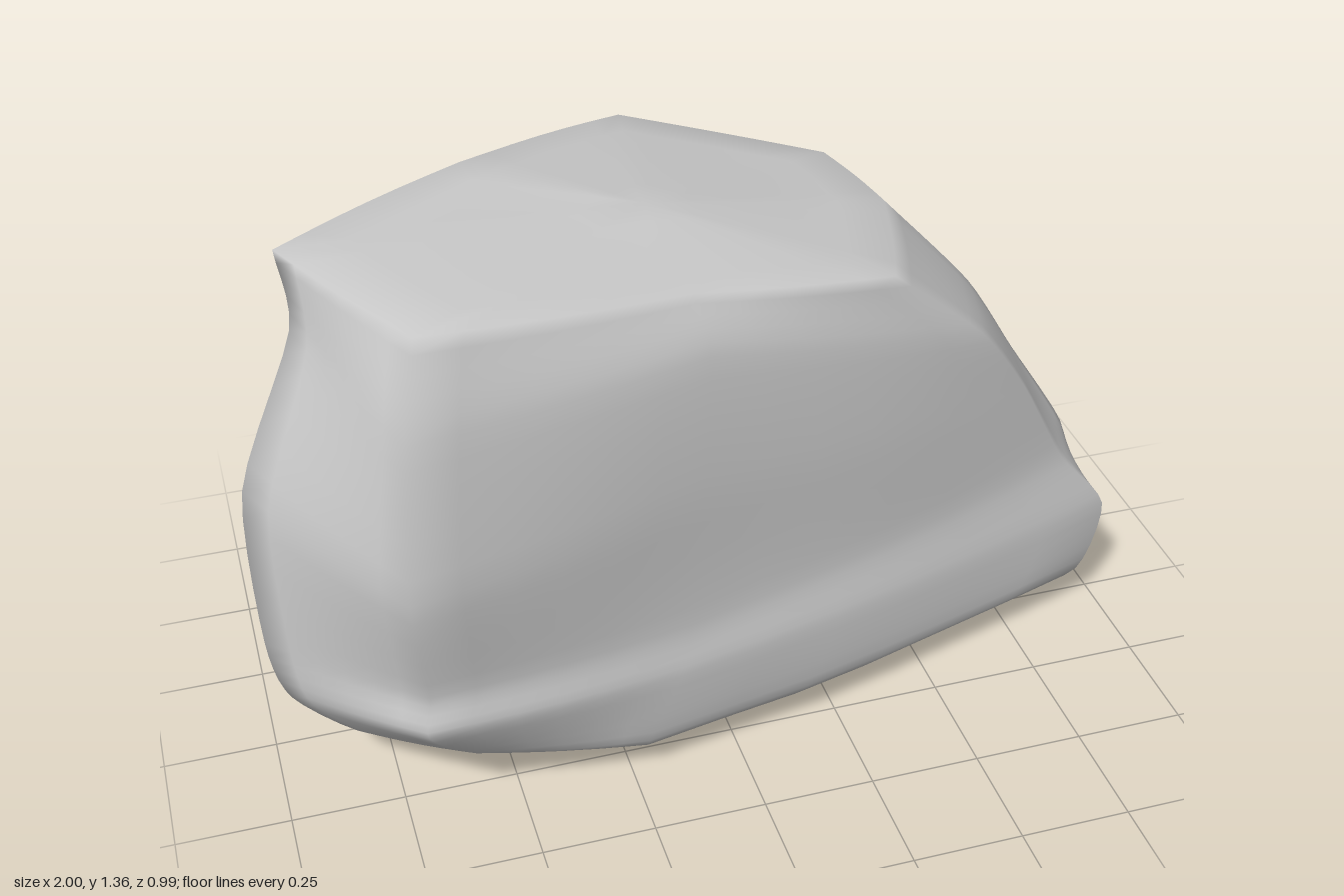
import * as THREE from 'three';
import { mergeVertices } from 'three/addons/utils/BufferGeometryUtils.js';

const stoneGrey = new THREE.MeshStandardMaterial({ color: 0xcccccc });
stoneGrey.name = 'stone grey';

const EDGE_STEPS = 6, SIDE_STEPS = 30, CAP_STEPS = 5;

// Upright edge of the rock, from the underside to the rim
const edge = (...points) =>
  new THREE.CatmullRomCurve3(points.map((p) => new THREE.Vector3(...p)), false, 'catmullrom', 0.35);

// Upright edges, counter-clockwise seen from above
const frontEdges = [
  // left tip
  edge([-.6, .04, .07], [-.8, .12, .16], [-.96, .31, .21], [-1, .47, .21], [-1, .85, .2], [-.87, 1.2, .2], [-.88, 1.36, .17]),
  // front corner
  edge([-.5, .08, .25], [-.6, .17, .34], [-.71, .33, .44], [-.7, .43, .43], [-.73, .72, .49], [-.71, 1.08, .47], [-.67, 1.28, .42]),
  // front wall
  edge([-.2, .035, .28], [-.22, .12, .36], [-.15, .3, .37], [-.12, .42, .35], [-.1, .75, .36], [-.08, 1.08, .34], [-.1, 1.2, .29]),
  // sloping front ridge
  edge([.75, .04, .04], [.93, .12, .07], [.99, .29, .05], [.86, .46, .06], [.73, .7, .1], [.59, .9, .15], [.36, 1.11, .2]),
];
const backEdges = [
  // sloping end
  edge([.8, .05, -.12], [.95, .14, -.1], [.97, .28, -.1], [.9, .49, -.04], [.77, .7, -.07], [.66, .88, -.1], [.46, 1.1, -.13]),
  // rear corner
  edge([.78, .045, -.36], [.81, .12, -.37], [.81, .26, -.36], [.68, .42, -.37], [.62, .68, -.38], [.57, .88, -.37], [.41, 1.1, -.38]),
  // back corner
  edge([-.03, .02, -.46], [-.05, .1, -.49], [-.06, .28, -.49], [-.05, .42, -.45], [-.06, .62, -.49], [-.06, 1.06, -.48], [-.05, 1.22, -.46]),
  // back left wall
  edge([-.35, .025, -.18], [-.46, .1, -.18], [-.53, .3, -.16], [-.53, .44, -.14], [-.53, .8, -.15], [-.5, 1.14, -.13], [-.47, 1.33, -.13]),
];
const edges = [...frontEdges, ...backEdges];

// One loop around the rock at t (0 underside, 1 rim); long walls bulge a little
function ring(t) {
  const corners = edges.map((e) => e.getPoint(t));
  const loop = [];
  corners.forEach((a, i) => {
    const b = corners[(i + 1) % corners.length];
    const out = new THREE.Vector3(a.z - b.z, 0, b.x - a.x);
    for (let k = 0; k < EDGE_STEPS; k++) {
      const s = k / EDGE_STEPS;
      loop.push(a.clone().lerp(b, s).addScaledVector(out, 0.018 * Math.sin(Math.PI * s)));
    }
  });
  return loop;
}

// Soft lumps, fading out towards the extremes
function weather(p) {
  const n = Math.sin(5.1 * p.x + 3 * p.y) * Math.sin(7 * p.y + 2 * p.z) +
    0.6 * Math.sin(9 * p.x - 4 * p.z + 6 * p.y);
  const fade = Math.max(0, 1 - Math.abs(p.x));
  p.z += 0.007 * n * fade;
  p.y = Math.max(0, p.y + 0.006 * n * fade * Math.min(1, p.y * 4));
  return p;
}

function rockGeometry() {
  const shrink = (loop, centre, f) => loop.map((p) => p.clone().lerp(centre, f));
  const rows = [];
  const base = ring(0), rim = ring(1);
  const baseCentre = new THREE.Vector3(.2, 0, -.05);
  const topCentre = new THREE.Vector3(-.12, 1.25, 0);

  // underside, walls, top
  for (let k = CAP_STEPS; k > 0; k--) rows.push(shrink(base, baseCentre, k / CAP_STEPS));
  for (let k = 0; k <= SIDE_STEPS; k++) rows.push(ring(k / SIDE_STEPS));
  for (let k = 1; k <= CAP_STEPS; k++) rows.push(shrink(rim, topCentre, k / CAP_STEPS));

  const count = base.length;
  const positions = [], index = [];
  rows.forEach((row, j) => {
    row.forEach((p, i) => {
      positions.push(...weather(p).toArray());
      if (j === rows.length - 1) return;
      const a = j * count + i, b = j * count + (i + 1) % count;
      // the first and last rows meet in a point, so need one triangle each
      if (j > 0) index.push(a, b, b + count);
      if (j < rows.length - 2) index.push(a, b + count, a + count);
    });
  });

  let geometry = new THREE.BufferGeometry();
  geometry.setAttribute('position', new THREE.Float32BufferAttribute(positions, 3));
  geometry.setIndex(index);
  geometry = mergeVertices(geometry, 1e-4);
  geometry.computeVertexNormals();
  return geometry;
}

export function createModel() {
  const group = new THREE.Group();
  group.name = 'rock';
  const boulder = new THREE.Mesh(rockGeometry(), stoneGrey);
  boulder.name = 'boulder';
  group.add(boulder);
  return group;
}
